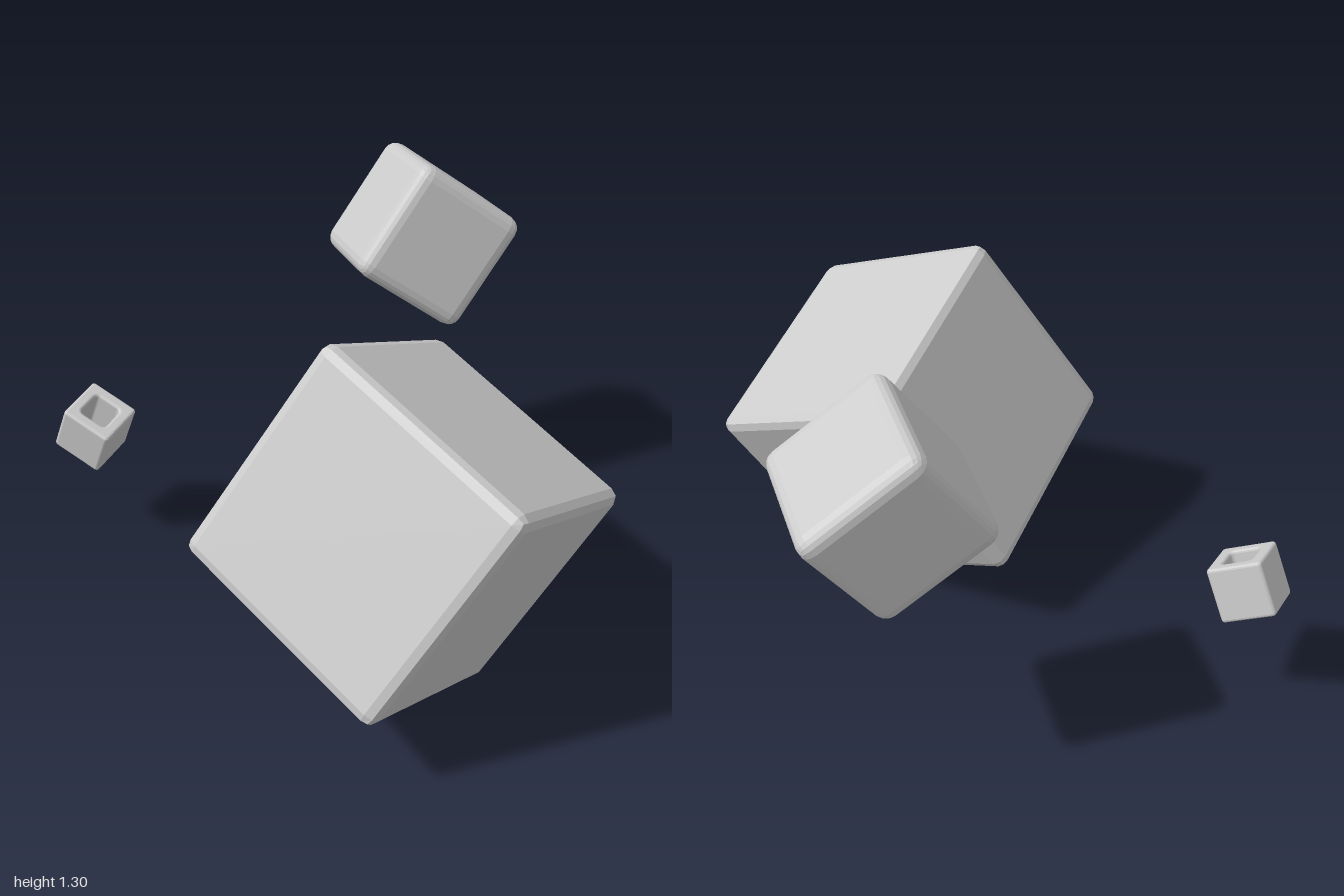
import * as THREE from 'three';
import { RoundedBoxGeometry } from 'three/addons/geometries/RoundedBoxGeometry.js';

const material = new THREE.MeshStandardMaterial({ color: 0xcccccc, flatShading: true });

// Square outline with rounded corners, h = half width
function roundedSquare(target, h, r) {
  target.moveTo(h, r - h);
  for (let i = 0; i < 4; i++) {
    const a = i * Math.PI / 2;
    target.absarc(
      (h - r) * Math.SQRT2 * Math.cos(a + Math.PI / 4),
      (h - r) * Math.SQRT2 * Math.sin(a + Math.PI / 4),
      r, a, a + Math.PI / 2, false);
  }
  target.closePath();
  return target;
}

// Places a cube at a centre with its x axis along u and its y axis close to v
function place(name, geometry, centre, u, v) {
  const x = new THREE.Vector3(...u).normalize();
  const z = x.clone().cross(new THREE.Vector3(...v)).normalize();
  const y = z.clone().cross(x);
  const mesh = new THREE.Mesh(geometry, material);
  mesh.name = name;
  mesh.quaternion.setFromRotationMatrix(new THREE.Matrix4().makeBasis(x, y, z));
  mesh.position.set(...centre);
  return mesh;
}

// Cube pierced by a square hole along z
function hollowCube(half, bevel, holeHalf) {
  const shape = roundedSquare(new THREE.Shape(), half - bevel, 0.003);
  shape.holes.push(roundedSquare(new THREE.Path(), holeHalf + bevel, 0.025));
  const depth = 2 * (half - bevel);
  const geometry = new THREE.ExtrudeGeometry(shape, {
    depth, bevelEnabled: true, bevelSize: bevel, bevelThickness: bevel,
    bevelSegments: 3, curveSegments: 4,
  });
  return geometry.translate(0, 0, -depth / 2);
}

export function createModel() {
  const group = new THREE.Group();
  group.name = 'floatingCubes';

  // Large cube with a narrow bevel
  group.add(place('largeCube', new RoundedBoxGeometry(0.766, 0.766, 0.766, 1, 0.035),
    [0.33, 0.595, 0.44], [0.57, -0.28, 0.37], [0.25, -0.28, -0.63]));

  // Medium cube with a wider, softer bevel
  group.add(place('mediumCube', new RoundedBoxGeometry(0.422, 0.422, 0.422, 2, 0.045),
    [0.255, 1.008, -0.7], [0.30, -0.23, -0.10], [-0.16, -0.05, -0.35]));

  // Small cube with a hole right through it
  group.add(place('smallHollowCube', hollowCube(0.09, 0.01, 0.05),
    [-0.798, 0.43, -0.217], [-0.16, 0.075, -0.045], [-0.06, -0.03, 0.165]));

  return group;
}
